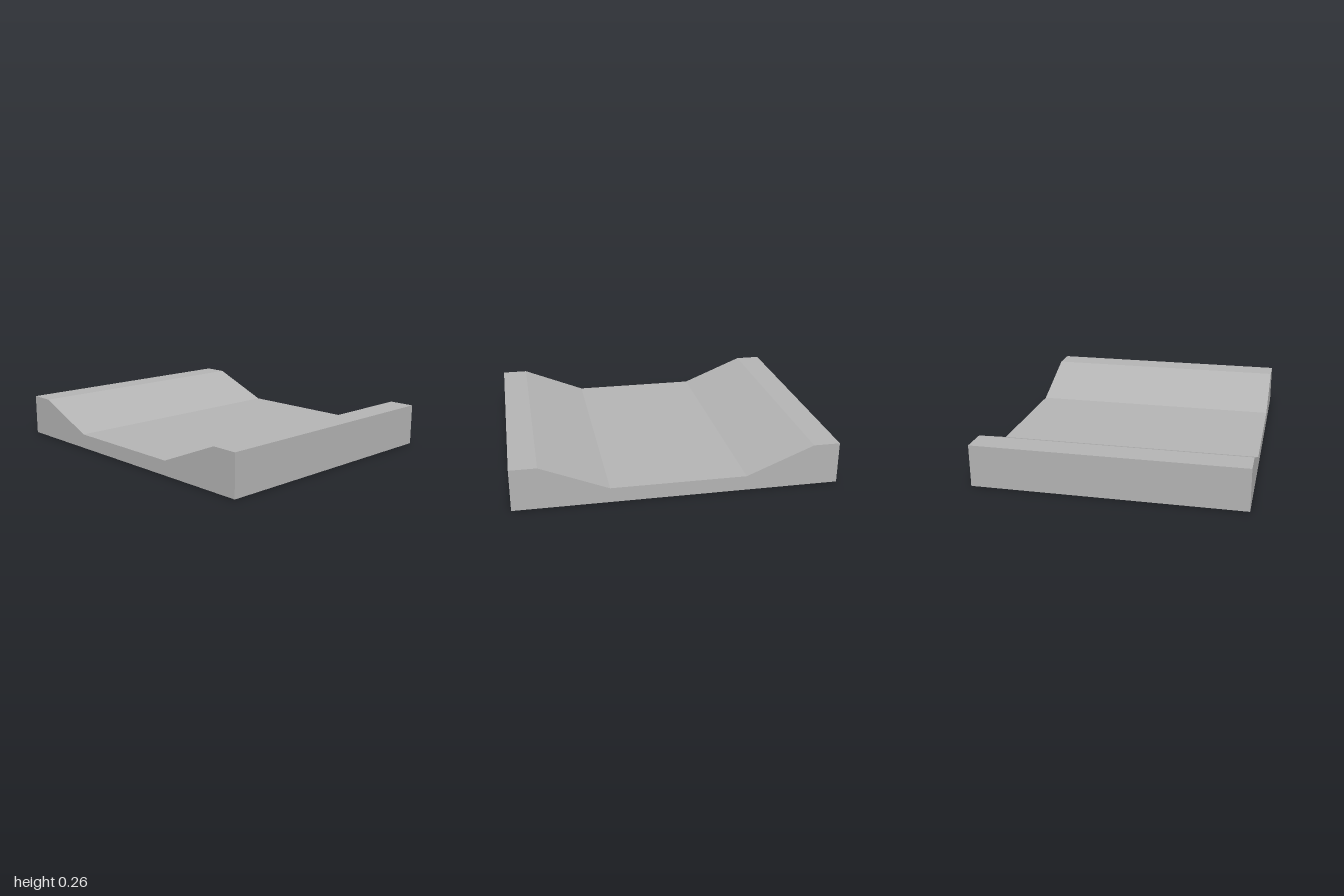
import * as THREE from 'three';

const WIDTH = 1;       // half width
const DEPTH = 1.666;   // full depth
const RIM_Y = 0.262;   // height of the side rims
const FLOOR_Y = 0.092; // height of the channel floor

export function createModel() {
  const model = new THREE.Group();
  model.name = 'channelTile';

  const stone = new THREE.MeshStandardMaterial({ color: 0xb3b3b3 });
  stone.name = 'plain grey';

  // Cross-section: flat base, raised rims, slopes down to a flat floor
  const half = [[WIDTH, 0], [WIDTH, RIM_Y], [0.835, RIM_Y], [0.418, FLOOR_Y]];
  const mirrored = half.map(([x, y]) => [-x, y]).reverse();
  const profile = new THREE.Shape([...half, ...mirrored].map(([x, y]) => new THREE.Vector2(x, y)));

  // Slab running front to back
  const geometry = new THREE.ExtrudeGeometry(profile, { depth: DEPTH, bevelEnabled: false });
  geometry.translate(0, 0, -DEPTH / 2);
  const slab = new THREE.Mesh(geometry, stone);
  slab.name = 'channelSlab';
  model.add(slab);

  return model;
}
